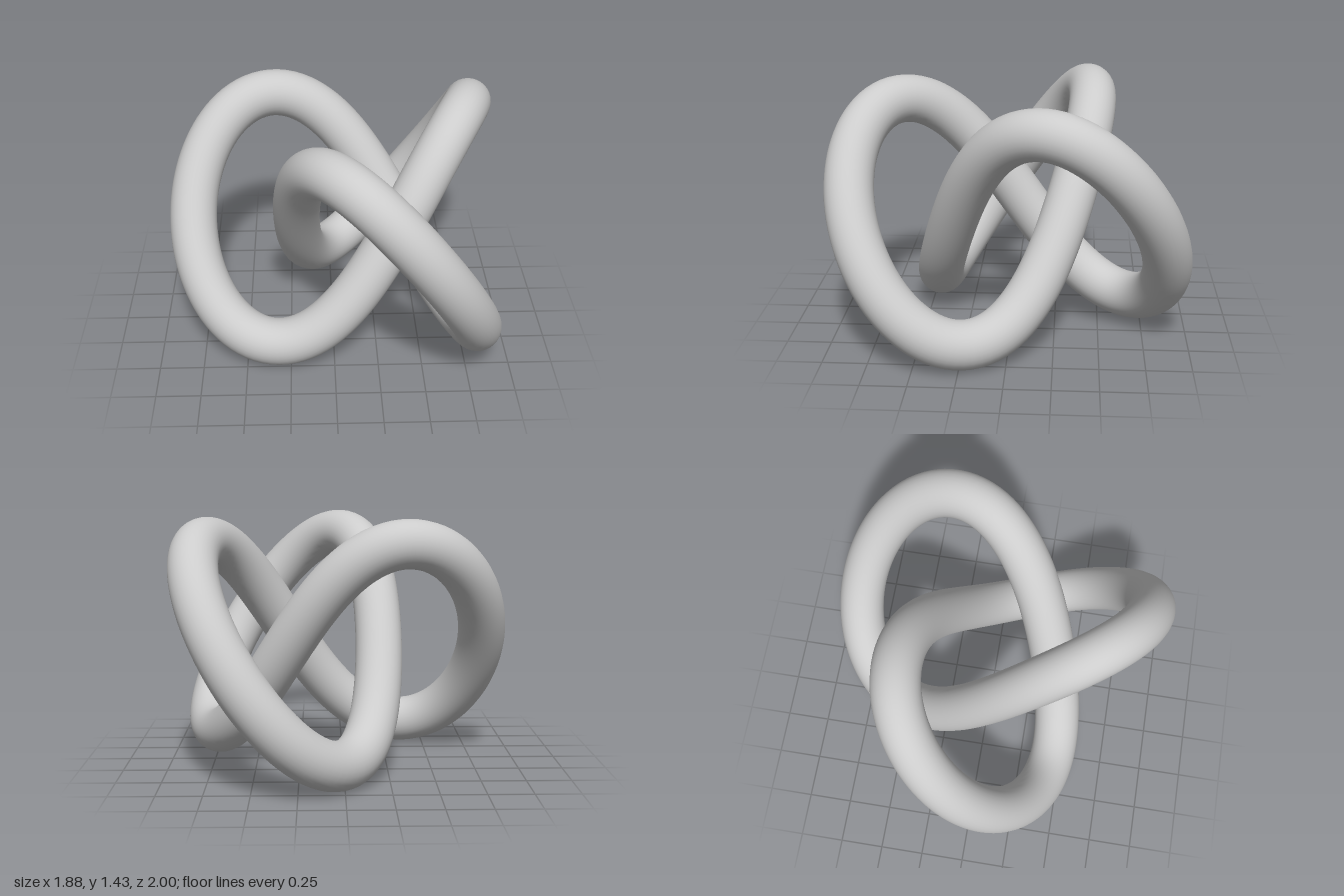
import * as THREE from 'three';

const TUBE_RADIUS = 0.135;

// Closed three-lobed knot: a double turn about the vertical axis whose
// radius swells three times while the height rises and falls three times.
class KnotCurve extends THREE.Curve {
  getPoint(u, target = new THREE.Vector3()) {
    const t = u * Math.PI * 2;
    // [amplitude, frequency] of each rotating term in plan
    const terms = [[0.635, 2], [0.25, -1], [0.048, 5], [0.012, -4]];
    let x = 0.14, z = 0;
    for (const [a, n] of terms) {
      x -= a * Math.cos(n * t);
      z -= a * Math.sin(n * t);
    }
    return target.set(x, 0.715 + 0.58 * Math.sin(3 * t), z);
  }
}

export function createModel() {
  const group = new THREE.Group();
  group.name = 'trefoilKnot';

  // One smooth round tube swept along the closed curve
  const curve = new KnotCurve();
  curve.arcLengthDivisions = 600;
  const tube = new THREE.Mesh(
    new THREE.TubeGeometry(curve, 300, TUBE_RADIUS, 32, true),
    new THREE.MeshStandardMaterial({ color: 0xcccccc })
  );
  tube.name = 'knotTube';
  group.add(tube);
  return group;
}
